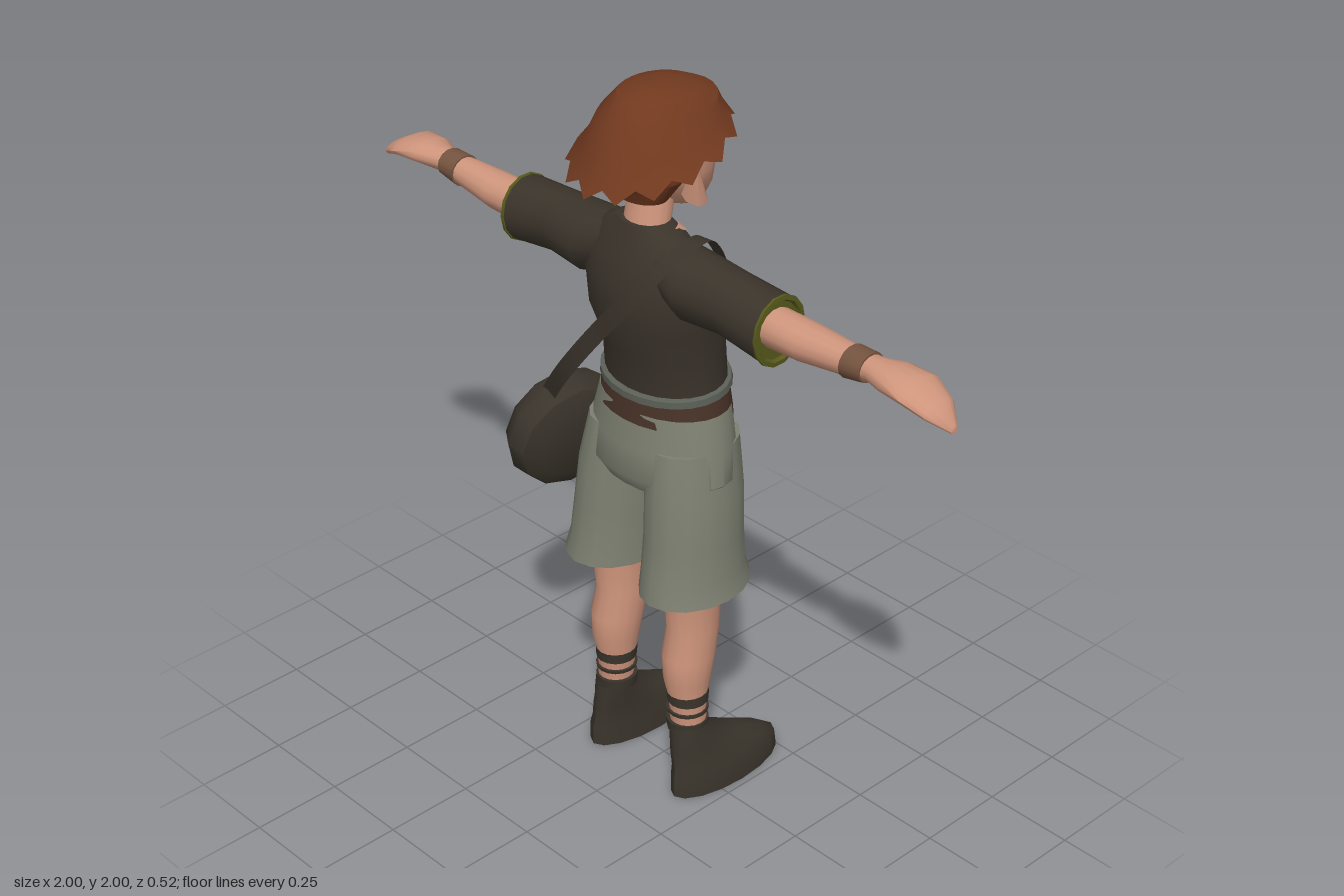
import * as THREE from 'three';
import { toCreasedNormals } from 'three/addons/utils/BufferGeometryUtils.js';

const mat = (name, color, side = THREE.FrontSide) => {
  const m = new THREE.MeshStandardMaterial({ color, side });
  m.name = name;
  return m;
};

export function createModel() {
  const skin = mat('skin', 0xcf957c), hairMat = mat('auburn hair', 0x71391f);
  const shirt = mat('dark brown cloth', 0x3b342b, THREE.DoubleSide), hemMat = mat('russet brown', 0x463127);
  const shortsMat = mat('grey green cloth', 0x7c7f70, THREE.DoubleSide), beltMat = mat('belt grey', 0x5b6057);
  const leather = mat('boot leather', 0x3a342b), trim = mat('olive trim', 0x57591c);
  const wrap = mat('wrist wrap', 0x75543f), eyeMat = mat('eye brown', 0x4a3a33);

  const model = new THREE.Group();
  model.name = 'traveller';
  const add = (name, geo, material, parent = model) => {
    const mesh = new THREE.Mesh(geo, material);
    mesh.name = name;
    parent.add(mesh);
    return mesh;
  };

  // Skins elliptical rings [t, p, q, radiusP, radiusQ] set along an axis.
  // Axis y: p = x, q = z. Axis x: p = z, q = y.
  const loft = (rings, { axis = 'y', sides = 16, warp = null, crease = 0.8 } = {}) => {
    const pos = [], index = [], n = sides;
    const place = (p, t, q) => (axis === 'y' ? new THREE.Vector3(p, t, q) : new THREE.Vector3(t, q, p));
    const put = (v, ring, j) => {
      if (warp) warp(v, ring, j);
      pos.push(v.x, v.y, v.z);
    };
    rings.forEach(([t, p, q, rp, rq], i) => {
      for (let j = 0; j < n; j++) {
        const a = (j / n) * Math.PI * 2;
        put(place(p + rp * Math.cos(a), t, q + rq * Math.sin(a)), i, j);
      }
    });
    const last = rings.length - 1, flip = rings[last][0] < rings[0][0];
    const tri = (a, b, c) => (flip ? index.push(a, c, b) : index.push(a, b, c));
    for (let i = 0; i < last; i++) {
      for (let j = 0; j < n; j++) {
        const a = i * n + j, b = i * n + ((j + 1) % n);
        tri(a, a + n, b);
        tri(b, a + n, b + n);
      }
    }
    for (const i of [0, last]) {
      const c = pos.length / 3, [t, p, q] = rings[i];
      put(place(p, t, q), i, 0);
      for (let j = 0; j < n; j++) {
        const a = i * n + j, b = i * n + ((j + 1) % n);
        if (i === 0) tri(c, a, b);
        else tri(c, b, a);
      }
    }
    const geo = new THREE.BufferGeometry();
    geo.setAttribute('position', new THREE.Float32BufferAttribute(pos, 3));
    geo.setIndex(index);
    return toCreasedNormals(geo, crease);
  };

  // Shirt body with its russet lower edge
  const torso = [
    [1.19, 0, -0.008, 0.178, 0.132], [1.3, 0, 0, 0.174, 0.135], [1.4, 0, 0.025, 0.193, 0.145],
    [1.5, 0, 0.045, 0.2, 0.125], [1.57, 0, 0.055, 0.185, 0.1], [1.63, 0, 0.06, 0.13, 0.072],
    [1.66, 0, 0.065, 0.075, 0.056]];
  add('shirtBody', loft(torso, { sides: 24 }), shirt);
  add('shirtHem', loft([[1.12, 0, -0.005, 0.197, 0.145], [1.2, 0, -0.008, 0.18, 0.135]], { sides: 24 }), hemMat);
  add('belt', loft([[-0.012, 0, 0, 0.178, 0.134], [-0.008, 0, 0, 0.19, 0.146], [0.01, 0, 0, 0.188, 0.144],
    [0.014, 0, 0, 0.176, 0.132]], { sides: 24 }), beltMat).position.set(0, 1.205, -0.006);
  model.getObjectByName('belt').rotation.x = 0.1;

  // Bare chest in the scooped neckline, laid on the shirt front
  const chestZ = (x, y) => {
    let i = 0;
    while (i < torso.length - 2 && y > torso[i + 1][0]) i++;
    const k = (y - torso[i][0]) / (torso[i + 1][0] - torso[i][0]);
    const [, , cz, rx, rz] = torso[i].map((v, c) => v + (torso[i + 1][c] - v) * k);
    return cz - rz * Math.sqrt(Math.max(0, 1 - (x / rx) ** 2)) - 0.005;
  };
  const chest = new THREE.PlaneGeometry(2, 1, 12, 10), cp = chest.attributes.position;
  for (let i = 0; i < cp.count; i++) {
    const v = 0.5 - cp.getY(i), y = 1.652 - 0.165 * v;
    const x = -cp.getX(i) * 0.088 * Math.sqrt(Math.max(0, 1 - v ** 3));
    cp.setXYZ(i, x, y, chestZ(x, y));
  }
  chest.computeVertexNormals();
  add('chest', chest, skin);

  // Neck and head
  add('neck', loft([[1.6, 0, 0.06, 0.075, 0.06], [1.66, 0, 0.055, 0.062, 0.055], [1.76, 0, 0.035, 0.058, 0.055]]), skin);
  const head = new THREE.Group();
  head.name = 'head';
  model.add(head);
  add('face', loft([
    [1.662, 0, -0.075, 0.025, 0.025], [1.685, 0, -0.052, 0.062, 0.06], [1.735, 0, -0.022, 0.1, 0.102],
    [1.79, 0, -0.01, 0.121, 0.112], [1.86, 0, 0, 0.122, 0.115], [1.92, 0, 0.02, 0.11, 0.11],
    [1.965, 0, 0.03, 0.06, 0.06]], { sides: 18, crease: 1.2 }), skin, head);
  add('nose', loft([[1.758, 0, -0.118, 0.013, 0.012], [1.772, 0, -0.126, 0.017, 0.022],
    [1.825, 0, -0.108, 0.008, 0.008]], { sides: 8 }), skin, head);
  add('mouth', new THREE.BoxGeometry(0.045, 0.006, 0.008), wrap, head).position.set(0, 1.722, -0.118);
  for (const s of [1, -1]) {
    const eye = add('eye', new THREE.SphereGeometry(1, 12, 8), eyeMat, head);
    eye.scale.set(0.02, 0.014, 0.004);
    eye.position.set(s * 0.05, 1.803, -0.113);
    eye.rotation.y = s * -0.4;
    const brow = add('eyebrow', new THREE.BoxGeometry(0.045, 0.008, 0.008), hairMat, head);
    brow.position.set(s * 0.052, 1.838, -0.113);
    brow.rotation.set(0, s * -0.4, s * 0.12);
    const ear = add('ear', new THREE.ConeGeometry(0.04, 0.12, 7), skin, head);
    ear.scale.z = 0.7;
    ear.position.set(s * 0.13, 1.79, 0.02);
    ear.rotation.set(0.25, 0, s * -0.35);
  }

  // Bobbed hair, tilted down to the back, with a ragged flared edge
  const hair = loft([
    [2.0, 0, 0.025, 0.05, 0.06], [1.985, 0, 0.022, 0.09, 0.105], [1.94, 0, 0.025, 0.132, 0.16],
    [1.895, 0, 0.035, 0.155, 0.18], [1.855, 0, 0.045, 0.19, 0.208], [1.86, 0, 0.045, 0.132, 0.14],
    [1.79, 0, 0.07, 0.122, 0.088], [1.725, 0, 0.075, 0.075, 0.055]], {
    sides: 28, crease: 0.45,
    warp: (v, ring, j) => {
      if (ring < 6) v.y -= 0.3 * (v.z - 0.03) * Math.min(1, (2 - v.y) / 0.12);
      if (ring === 4) {
        const out = j % 2 ? 1.05 : 0.96;
        v.x *= out;
        v.z = 0.045 + (v.z - 0.045) * out;
        v.y += j % 2 ? -0.015 : 0.012;
      }
    },
  });
  add('hair', hair, hairMat, head);

  // Sleeves, arms and legs, mirrored
  for (const s of [1, -1]) {
    const along = (rows) => rows.map(([x, ...r]) => [s * x, ...r]);
    const side = (rows) => rows.map(([y, x, ...r]) => [y, s * x, ...r]);
    const tube = { axis: 'x', sides: 14 };

    const arm = new THREE.Group();
    arm.name = s > 0 ? 'leftArm' : 'rightArm';
    model.add(arm);
    add('sleeve', loft(along([
      [0.07, 0.06, 1.57, 0.07, 0.07], [0.18, 0.06, 1.537, 0.092, 0.09], [0.3, 0.058, 1.537, 0.078, 0.084],
      [0.45, 0.056, 1.521, 0.082, 0.09], [0.445, 0.056, 1.521, 0.07, 0.078], [0.41, 0.056, 1.525, 0.05, 0.05]]), tube), shirt, arm);
    add('sleeveTrim', loft(along([
      [0.443, 0.056, 1.521, 0.08, 0.088], [0.445, 0.056, 1.521, 0.085, 0.093], [0.452, 0.056, 1.521, 0.085, 0.093],
      [0.453, 0.056, 1.521, 0.073, 0.081], [0.444, 0.056, 1.521, 0.068, 0.076]]), tube), trim, arm);
    add('forearmAndHand', loft(along([
      [0.4, 0.06, 1.53, 0.055, 0.052], [0.55, 0.06, 1.533, 0.056, 0.047], [0.68, 0.06, 1.54, 0.042, 0.038],
      [0.76, 0.06, 1.547, 0.038, 0.031], [0.82, 0.06, 1.552, 0.062, 0.031], [0.89, 0.06, 1.549, 0.07, 0.027],
      [0.95, 0.06, 1.524, 0.052, 0.02], [1.0, 0.06, 1.492, 0.012, 0.01]]), { axis: 'x', sides: 14, crease: 1 }), skin, arm);
    add('thumb', loft(along([
      [0.79, 0.03, 1.54, 0.022, 0.022], [0.86, 0, 1.51, 0.02, 0.02], [0.92, 0.005, 1.473, 0.01, 0.01]]),
    { axis: 'x', sides: 8 }), skin, arm);
    add('wristWrap', loft(along([
      [0.685, 0.06, 1.54, 0.047, 0.042], [0.745, 0.06, 1.546, 0.043, 0.037]]), tube), wrap, arm);

    const leg = new THREE.Group();
    leg.name = s > 0 ? 'leftLeg' : 'rightLeg';
    model.add(leg);
    add('shortsLeg', loft(side([
      [1.06, 0.11, 0, 0.1, 0.13], [0.92, 0.123, 0.012, 0.114, 0.14], [0.8, 0.131, 0.02, 0.115, 0.142],
      [0.7, 0.134, 0.025, 0.118, 0.15], [0.645, 0.14, 0.025, 0.125, 0.163], [0.655, 0.14, 0.025, 0.115, 0.15],
      [0.68, 0.14, 0.03, 0.06, 0.07]])), shortsMat, leg);
    add('bareLeg', loft(side([
      [0.72, 0.14, 0.03, 0.072, 0.085], [0.6, 0.138, 0.03, 0.068, 0.08], [0.51, 0.135, 0.025, 0.064, 0.076],
      [0.43, 0.137, 0.042, 0.067, 0.076], [0.36, 0.138, 0.048, 0.06, 0.068], [0.29, 0.138, 0.046, 0.05, 0.052],
      [0.18, 0.143, 0.046, 0.047, 0.048]])), skin, leg);
    for (const [y, h] of [[0.283, 0.03], [0.195, 0.03], [0.25, 0.01]]) {
      add('ankleCord', loft(side([[y, 0.139, 0.046, 0.054, 0.056], [y + h, 0.138, 0.046, 0.055, 0.058]])), leather, leg);
    }
    add('boot', loft(side([
      [0, 0.16, -0.072, 0.072, 0.188], [0.055, 0.16, -0.068, 0.07, 0.184], [0.085, 0.157, -0.05, 0.064, 0.16],
      [0.13, 0.152, -0.004, 0.057, 0.114], [0.17, 0.147, 0.036, 0.052, 0.07], [0.21, 0.143, 0.047, 0.05, 0.055]])), leather, leg);
  }
  add('shortsSeat', loft([[0.93, 0, 0.012, 0.2, 0.125], [0.97, 0, 0.012, 0.23, 0.146], [1.05, 0, 0.002, 0.217, 0.147],
    [1.15, 0, -0.005, 0.192, 0.14]], { sides: 24 }), shortsMat);

  // Shoulder bag leaning on the hip, with a button
  const bag = new THREE.Group();
  bag.name = 'shoulderBag';
  bag.position.set(-0.31, 0.935, 0.06);
  bag.rotation.set(0, -0.16, -0.2);
  model.add(bag);
  add('bagBody', loft([[-0.075, 0, 0, 0.1, 0.1], [-0.05, 0, 0, 0.155, 0.15], [0, 0, 0, 0.178, 0.165],
    [0.05, 0, 0, 0.165, 0.155], [0.07, 0, 0, 0.12, 0.11]], { axis: 'x', sides: 12 }), leather, bag);
  add('bagButton', new THREE.SphereGeometry(0.01, 8, 6), beltMat, bag).position.set(-0.074, 0.05, -0.02);

  // Flat strap crossing the chest, over the left shoulder and down the back
  const path = new THREE.CatmullRomCurve3([
    [-0.3, 1.06, -0.07], [-0.19, 1.18, -0.15], [-0.03, 1.33, -0.175], [0.09, 1.5, -0.11], [0.14, 1.625, -0.01],
    [0.165, 1.648, 0.06], [0.15, 1.61, 0.135], [0.08, 1.51, 0.182], [-0.05, 1.36, 0.186], [-0.18, 1.2, 0.178],
    [-0.3, 1.06, 0.13]].map((p) => new THREE.Vector3(...p)));
  const strap = new THREE.PlaneGeometry(1, 1, 1, 48), sp = strap.attributes.position;
  for (let i = 0; i <= 48; i++) {
    const c = path.getPoint(i / 48);
    const out = new THREE.Vector3(0, Math.max(0, c.y - 1.5), c.z - 0.05);
    const across = path.getTangent(i / 48).cross(out).normalize().multiplyScalar(0.024);
    sp.setXYZ(2 * i, c.x - across.x, c.y - across.y, c.z - across.z);
    sp.setXYZ(2 * i + 1, c.x + across.x, c.y + across.y, c.z + across.z);
  }
  strap.computeVertexNormals();
  add('bagStrap', strap, shirt);

  return model;
}
